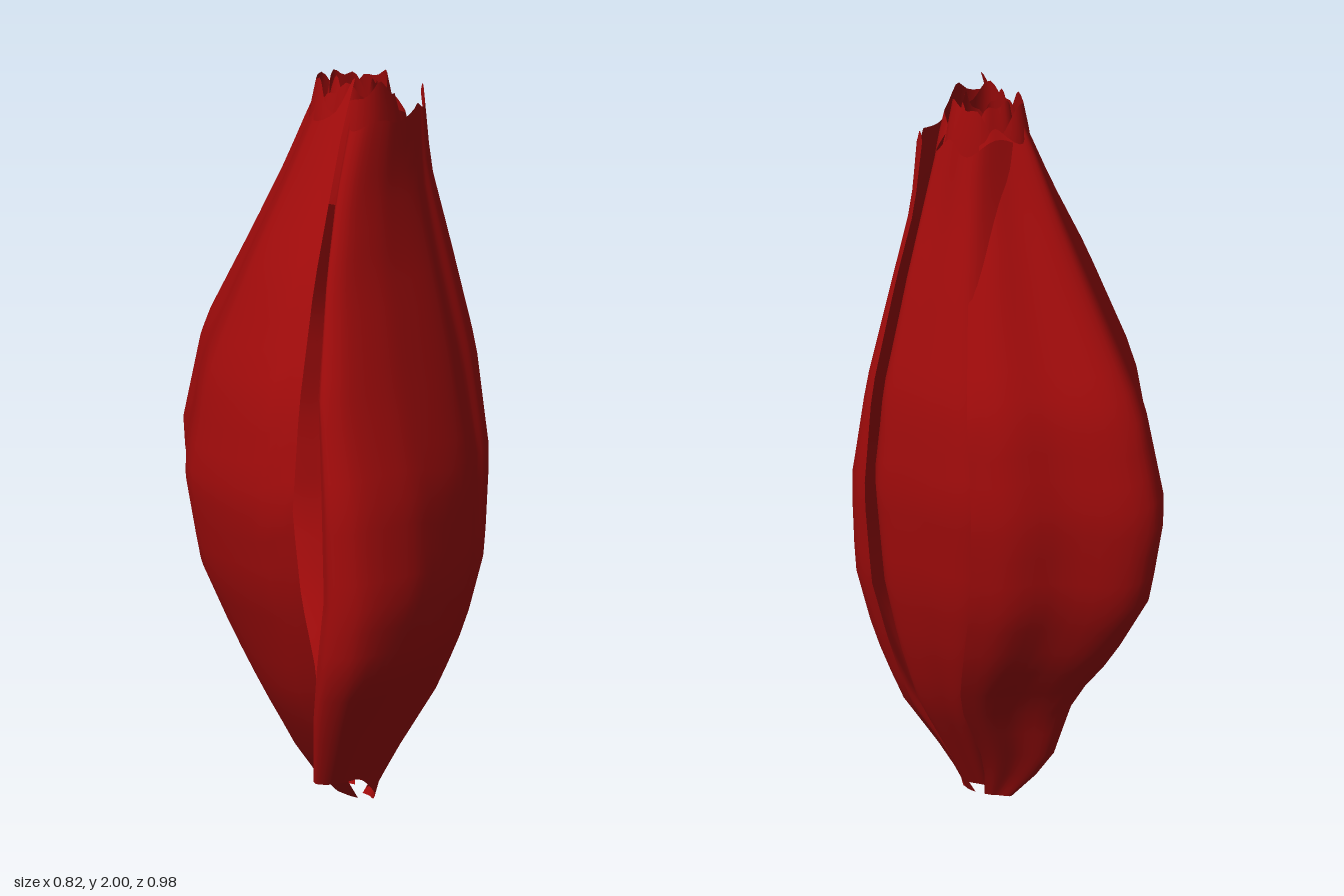
import * as THREE from 'three';

const red = new THREE.MeshStandardMaterial({ color: 0xa10b0b, side: THREE.DoubleSide });
red.name = 'deep red';

// Linear lookup in a table of rows [y, ...values]
function sample(table, y) {
  let i = 1;
  while (i < table.length - 1 && table[i][0] < y) i++;
  const a = table[i - 1], b = table[i];
  const k = THREE.MathUtils.clamp((y - a[0]) / (b[0] - a[0]), 0, 1);
  return a.map((v, j) => v + (b[j] - v) * k);
}

// Open sheet from a point function over a grid
function sheet(name, cols, rows, point) {
  const pos = [], index = [];
  for (let r = 0; r <= rows; r++) {
    for (let c = 0; c <= cols; c++) pos.push(...point(c / cols, r / rows));
  }
  for (let r = 0; r < rows; r++) {
    for (let c = 0; c < cols; c++) {
      const a = r * (cols + 1) + c, b = a + 1, d = a + cols + 1, e = d + 1;
      index.push(a, d, b, b, d, e);
    }
  }
  const g = new THREE.BufferGeometry();
  g.setAttribute('position', new THREE.Float32BufferAttribute(pos, 3));
  g.setIndex(index);
  g.computeVertexNormals();
  const mesh = new THREE.Mesh(g, red);
  mesh.name = name;
  return mesh;
}

// Petal: one plan curve, fitted at each height into [y, xMin, xMax, zMin, zMax]
function petal(name, plan, bounds, bottom, top) {
  const curve = new THREE.CatmullRomCurve3(plan.map(([x, z]) => new THREE.Vector3(x, 0, z)), false, 'centripetal');
  const xs = plan.map(p => p[0]), zs = plan.map(p => p[1]);
  const x0 = Math.min(...xs), x1 = Math.max(...xs), z0 = Math.min(...zs), z1 = Math.max(...zs);
  return sheet(name, 40, 26, (t, s) => {
    const p = curve.getPoint(t);
    const y = THREE.MathUtils.lerp(bottom(t), top(t), s);
    const [, xa, xb, za, zb] = sample(bounds, y);
    return [
      xa + (xb - xa) * (p.x - x0) / (x1 - x0), y,
      za + (zb - za) * (p.z - z0) / (z1 - z0),
    ];
  });
}

export function createModel() {
  const bud = new THREE.Group();
  bud.name = 'flowerBud';

  // Large back petal, open along its left front edge
  bud.add(petal('backPetal', [
    [-0.38, 0.33], [-0.41, 0.2], [-0.36, -0.08], [-0.29, -0.18], [-0.14, -0.33],
    [-0.05, -0.44], [0.03, -0.495], [0.1, -0.47], [0.22, -0.34], [0.33, -0.25], [0.39, -0.15],
  ], [
    [0, 0.02, 0.08, 0.02, 0.16], [0.05, -0.04, 0.1, -0.02, 0.18], [0.12, -0.1, 0.13, -0.1, 0.22],
    [0.33, -0.24, 0.27, -0.19, 0.26], [0.48, -0.3, 0.33, -0.33, 0.3], [0.67, -0.37, 0.37, -0.45, 0.32],
    [0.92, -0.415, 0.39, -0.495, 0.33], [1.2, -0.37, 0.375, -0.43, 0.31], [1.5, -0.25, 0.28, -0.25, 0.25],
    [1.7, -0.14, 0.2, -0.14, 0.2], [1.87, -0.06, 0.15, -0.06, 0.17], [2, 0, 0.13, 0, 0.16],
  ], () => 0.01, t => 1.89 + 0.11 * Math.exp(-((t / 0.06) ** 2)) + 0.02 * Math.sin(t * 24)));

  // Side petal, tucked under its neighbours
  bud.add(petal('sidePetal', [
    [0.3, -0.22], [0.37, -0.14], [0.39, 0], [0.4, 0.1], [0.395, 0.19], [0.33, 0.27],
  ], [
    [0.03, 0.03, 0.085, 0.06, 0.16], [0.3, 0.15, 0.255, -0.04, 0.2], [0.48, 0.22, 0.325, -0.12, 0.22],
    [0.66, 0.26, 0.37, -0.18, 0.24], [0.94, 0.29, 0.4, -0.21, 0.25], [1.2, 0.27, 0.385, -0.17, 0.23],
    [1.5, 0.18, 0.315, -0.1, 0.2], [1.7, 0.12, 0.26, -0.06, 0.18], [1.9, 0.08, 0.215, -0.03, 0.15],
  ], () => 0.03, t => 1.87 + 0.02 * Math.sin(t * 14)));

  // Front petal, with a raised corner at the lower left and a curled-in left edge
  bud.add(petal('frontPetal', [
    [0.41, 0.21], [0.39, 0.27], [0.33, 0.335], [0.28, 0.35], [0.2, 0.41], [0.02, 0.47],
    [-0.1, 0.49], [-0.25, 0.46], [-0.3, 0.39], [-0.28, 0.34],
  ], [
    [0, 0.02, 0.07, 0.12, 0.2], [0.05, -0.1, 0.1, 0.13, 0.24], [0.11, -0.2, 0.13, 0.15, 0.27],
    [0.3, -0.26, 0.27, 0.17, 0.37], [0.47, -0.3, 0.33, 0.19, 0.46], [0.66, -0.3, 0.38, 0.21, 0.49],
    [0.92, -0.295, 0.41, 0.21, 0.46], [1.2, -0.26, 0.39, 0.2, 0.37], [1.5, -0.17, 0.33, 0.17, 0.28],
    [1.7, -0.1, 0.29, 0.14, 0.24], [1.9, -0.03, 0.28, 0.12, 0.225],
  ], t => 0.11 * THREE.MathUtils.smoothstep(t, 0.42, 0.65),
  t => 1.88 + 0.03 * Math.exp(-(((t - 0.06) / 0.06) ** 2)) + 0.01 * Math.sin(t * 20)));

  // Crumpled inner petals around the open mouth
  for (let i = 0; i < 7; i++) {
    const start = 0.4 + i * 2.4, radius = 0.135 - i * 0.009;
    bud.add(sheet('innerPetal', 16, 5, (t, s) => {
      const a = start + t * 2.5;
      const r = radius * (1 + 0.05 * Math.sin(t * 11 + i)) - 0.035 * s * s + 0.012 * t;
      const y = 1.66 + s * (0.22 + 0.09 * Math.sin(Math.PI * t) + 0.012 * Math.sin(t * 17 + i * 2));
      return [0.07 + r * Math.cos(a), y, 0.085 + r * Math.sin(a)];
    }));
  }
  return bud;
}
